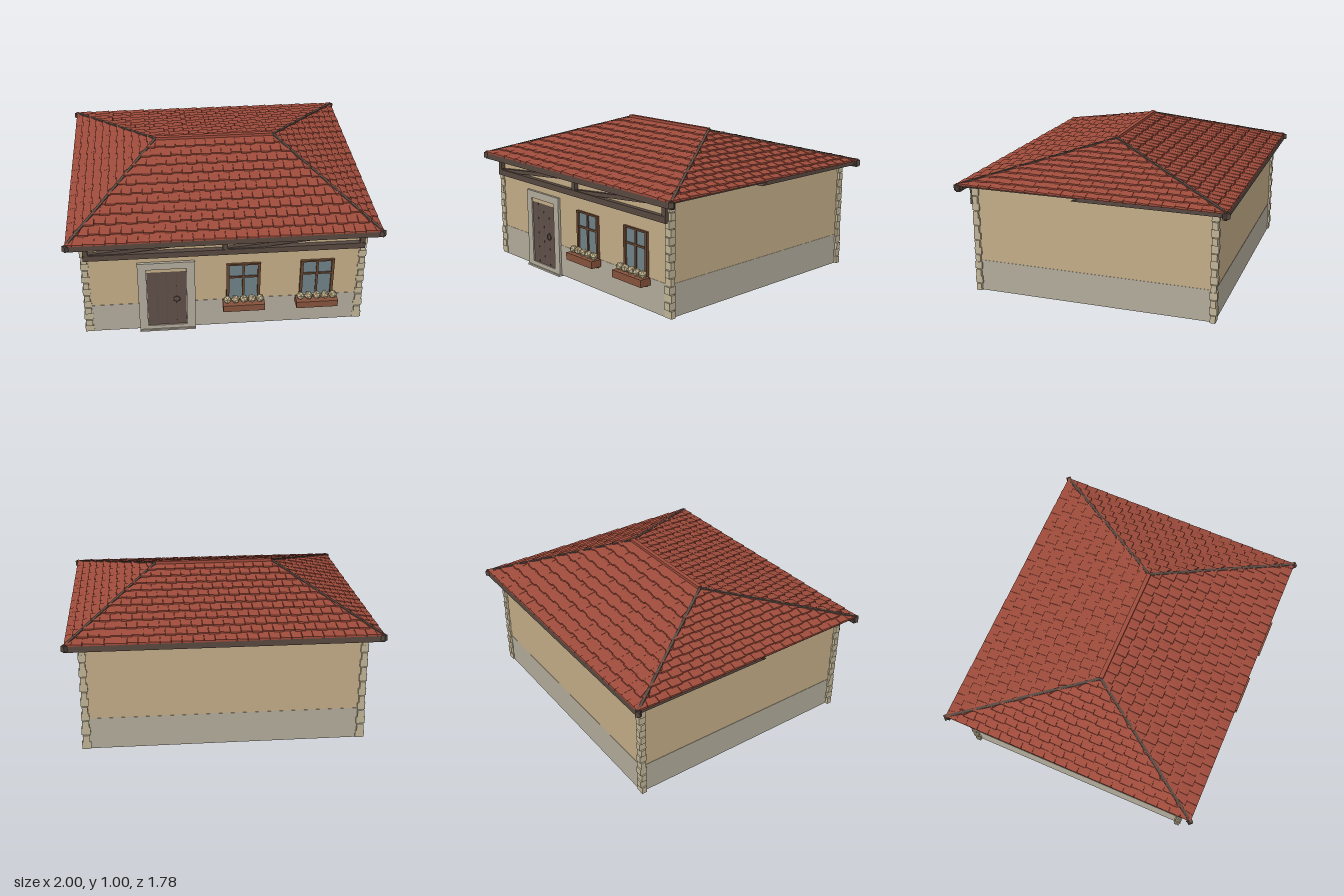
import * as THREE from 'three';

const mat = (name, color, side = THREE.FrontSide) => {
  const m = new THREE.MeshStandardMaterial({ color, side });
  m.name = name;
  return m;
};

export function createModel() {
  const plaster = mat('plaster', 0xc3ac87);
  const stone = mat('stone', 0xb2ab9b);
  const quoinStone = mat('quoin stone', 0xc0b496);
  const tileRed = mat('roof tile', 0x9e4b3b, THREE.DoubleSide);
  const darkWood = mat('dark timber', 0x574840);
  const doorWood = mat('door wood', 0x5f4e47);
  const frameWood = mat('window wood', 0x67462f);
  const planterWood = mat('planter wood', 0x85523c);
  const glass = mat('glass', 0x6f8186);
  const flower = mat('flower', 0xbfb08c);

  const model = new THREE.Group();
  model.name = 'house';

  const add = (parent, name, geometry, material, x = 0, y = 0, z = 0) => {
    const m = new THREE.Mesh(geometry, material);
    m.name = name;
    m.position.set(x, y, z);
    parent.add(m);
    return m;
  };
  // box given by its lower and upper limits
  const box = (parent, name, material, x0, x1, y0, y1, z0, z1) =>
    add(parent, name, new THREE.BoxGeometry(x1 - x0, y1 - y0, z1 - z0), material,
      (x0 + x1) / 2, (y0 + y1) / 2, (z0 + z1) / 2);
  // square timber between two points
  const beam = (parent, name, material, a, b, w, h) => {
    const p = new THREE.Vector3(...a), q = new THREE.Vector3(...b);
    const m = add(parent, name, new THREE.BoxGeometry(w, h, p.distanceTo(q)), material);
    m.position.copy(p).lerp(q, 0.5);
    m.lookAt(q);
    return m;
  };
  const group = (name, x = 0, y = 0, z = 0) => {
    const g = new THREE.Group();
    g.name = name;
    g.position.set(x, y, z);
    model.add(g);
    return g;
  };

  // walls and plinth
  box(model, 'floorSlab', stone, -0.85, 0.85, 0, 0.02, -0.75, 0.75);
  box(model, 'plinth', stone, -0.89, 0.89, 0.01, 0.22, -0.795, 0.8);
  box(model, 'walls', plaster, -0.888, 0.888, 0.22, 0.742, -0.793, 0.798);

  // corner stones, alternately long and short, with larger ones at the plinth
  const quoins = group('cornerStones');
  for (const sx of [-1, 1]) for (const sz of [-1, 1]) {
    for (let i = 0; i < 14; i++) {
      const wide = i % 2 === 0, low = i < 4 ? 0.008 : 0;
      add(quoins, 'cornerStone',
        new THREE.BoxGeometry(wide ? 0.05 + low : 0.036 + low, 0.047, wide ? 0.034 : 0.048),
        quoinStone, sx * 0.881, 0.035 + i * 0.05, sz * 0.787);
    }
  }

  // roof: four sloping faces with rows of stepped tiles clipped at the hips
  const W = 0.98, D = 0.872, R = 0.4, EAVE = 0.744, RISE = 0.235, ROWS = 11;
  const roof = group('roof');
  const slope = (name, half0, half1, dist0, dist1, angle, pitch) => {
    const verts = [];
    const point = (u, v, h) => {
      const lim = half0 + (half1 - half0) * v;
      return new THREE.Vector3(THREE.MathUtils.clamp(u, -lim, lim), EAVE + RISE * v + h,
        dist0 + (dist1 - dist0) * v);
    };
    const quad = (a, b, c, d) => {
      for (const p of [a, b, c, a, c, d]) verts.push(p.x, p.y, p.z);
    };
    quad(point(-9, 0, 0), point(9, 0, 0), point(9, 1, 0), point(-9, 1, 0));
    for (let r = 0; r < ROWS; r++) {
      const v1 = Math.min(1, (r + 1.1) / ROWS);
      const lim = half0 + (half1 - half0) * (r / ROWS);
      const n = Math.ceil(lim / pitch) + 1;
      for (let c = -n; c <= n; c++) {
        const u0 = (c - (r % 2) * 0.5) * pitch, u1 = u0 + pitch * 0.97;
        if (u1 < -lim || u0 > lim) continue;
        const odd = Math.abs(c) % 2;
        const v0 = Math.max(0, (r - odd * 0.12) / ROWS);
        const hl = 0.013 + odd * 0.003, hr = hl - 0.004;
        const a = point(u0, v0, hl), b = point(u1, v0, hr);
        const t = point(u1, v1, 0.002), s = point(u0, v1, 0.002);
        quad(a, b, t, s);
        const a0 = point(u0, v0, 0), b0 = point(u1, v0, 0);
        quad(a0, b0, b, a);
        quad(s, a0, a, s);
        quad(b0, t, t, b);
      }
    }
    const g = new THREE.BufferGeometry();
    g.setAttribute('position', new THREE.Float32BufferAttribute(verts, 3));
    g.computeVertexNormals();
    add(roof, name, g, tileRed).rotation.y = angle;
  };
  slope('frontTiles', W, R, D, 0, 0, 0.067);
  slope('backTiles', W, R, D, 0, Math.PI, 0.067);
  slope('leftTiles', D, 0, W, R, Math.PI / 2, 0.08);
  slope('rightTiles', D, 0, W, R, -Math.PI / 2, 0.08);

  box(roof, 'ridgeCap', tileRed, -R, R, 0.96, 0.998, -0.014, 0.014);
  box(roof, 'soffit', darkWood, -0.972, 0.972, 0.735, 0.743, -0.865, 0.865);
  for (const s of [-1, 1]) {
    const z = s * 0.858;
    box(roof, 'eavesBoard', darkWood, -0.985, 0.985, 0.705, 0.745, z - 0.013, z + 0.013);
    // hip timbers showing between the tiles, with stub ends at the corners
    for (const sx of [-1, 1]) {
      beam(roof, 'hipTimber', darkWood, [sx * W, EAVE + 0.004, s * D],
        [sx * R, EAVE + RISE + 0.004, 0], 0.018, 0.014);
      beam(roof, 'hipEnd', darkWood, [sx * 0.955, 0.732, s * 0.846],
        [sx * 0.989, 0.732, s * 0.879], 0.03, 0.036);
    }
    // side eaves wedge, running from the middle to the back
    const shape = new THREE.Shape([[-0.1, 0.717], [0.85, 0.717], [0.85, 0.741], [-0.03, 0.741]]
      .map(p => new THREE.Vector2(...p)));
    const wedge = new THREE.ExtrudeGeometry(shape, { depth: 0.07, bevelEnabled: false });
    add(roof, 'sideEaves', wedge, darkWood, s > 0 ? 0.9 : -0.97).rotation.y = Math.PI / 2;
  }

  // timber truss along the front
  const truss = group('frontTruss');
  box(truss, 'lowerBeam', darkWood, -0.885, 0.885, 0.597, 0.637, 0.795, 0.83);
  box(truss, 'upperBeam', darkWood, -0.885, 0.885, 0.69, 0.73, 0.795, 0.83);
  for (const x of [-0.868, 0, 0.868])
    box(truss, 'post', darkWood, x - 0.016, x + 0.016, 0.63, 0.7, 0.795, 0.828);
  for (const x of [-0.85, 0.02])
    beam(truss, 'brace', darkWood, [x, 0.63, 0.81], [x + 0.76, 0.705, 0.81], 0.022, 0.026);

  // door with stone surround
  const door = group('door');
  box(door, 'leftJamb', stone, -0.245, -0.19, 0.005, 0.545, 0.79, 0.815);
  box(door, 'rightJamb', stone, -0.555, -0.5, 0.005, 0.545, 0.79, 0.815);
  box(door, 'lintel', stone, -0.5, -0.245, 0.495, 0.545, 0.79, 0.815);
  box(door, 'threshold', stone, -0.555, -0.19, 0, 0.012, 0.74, 0.825);
  box(door, 'sill', stone, -0.5, -0.245, 0.012, 0.04, 0.79, 0.815);
  box(door, 'backing', stone, -0.5, -0.245, 0.04, 0.47, 0.795, 0.802);
  box(door, 'headStrip', plaster, -0.5, -0.245, 0.47, 0.495, 0.79, 0.808);
  for (let i = 0; i < 4; i++) {
    const x = -0.498 + i * 0.063;
    box(door, 'plank', doorWood, x, x + 0.0615, 0.04, 0.47, 0.798, 0.807);
    if (i) box(door, 'plankGap', darkWood, x - 0.002, x + 0.001, 0.04, 0.47, 0.798, 0.8075);
  }
  add(door, 'ringHandle', new THREE.TorusGeometry(0.02, 0.003, 6, 20), darkWood, -0.31, 0.25, 0.811);

  // windows with flower boxes
  for (const x of [0.12, 0.595]) {
    const win = group('window', x, 0, 0);
    box(win, 'pane', glass, -0.1, 0.1, 0.23, 0.495, 0.797, 0.803);
    for (const s of [-1, 1])
      box(win, 'jamb', frameWood, s * 0.1 - 0.009, s * 0.1 + 0.009, 0.225, 0.505, 0.795, 0.815);
    box(win, 'head', frameWood, -0.1, 0.1, 0.494, 0.505, 0.795, 0.813);
    box(win, 'mullion', frameWood, -0.007, 0.007, 0.225, 0.5, 0.795, 0.811);
    box(win, 'crossBar', frameWood, -0.1, 0.1, 0.393, 0.406, 0.795, 0.81);

    const planter = new THREE.Group();
    planter.name = 'flowerBox';
    win.add(planter);
    box(planter, 'trough', planterWood, -0.135, 0.135, 0.18, 0.228, 0.81, 0.885);
    for (const s of [-1, 1])
      box(planter, 'bracket', darkWood, s * 0.098 - 0.01, s * 0.098 + 0.01, 0.165, 0.182, 0.795, 0.825);
    for (let i = 0; i < 5; i++) {
      const geo = new THREE.IcosahedronGeometry(0.028, 0);
      add(planter, 'flower', geo, flower, -0.106 + i * 0.053, 0.25, 0.845).rotation.y = i * 0.6;
    }
  }
  return model;
}
